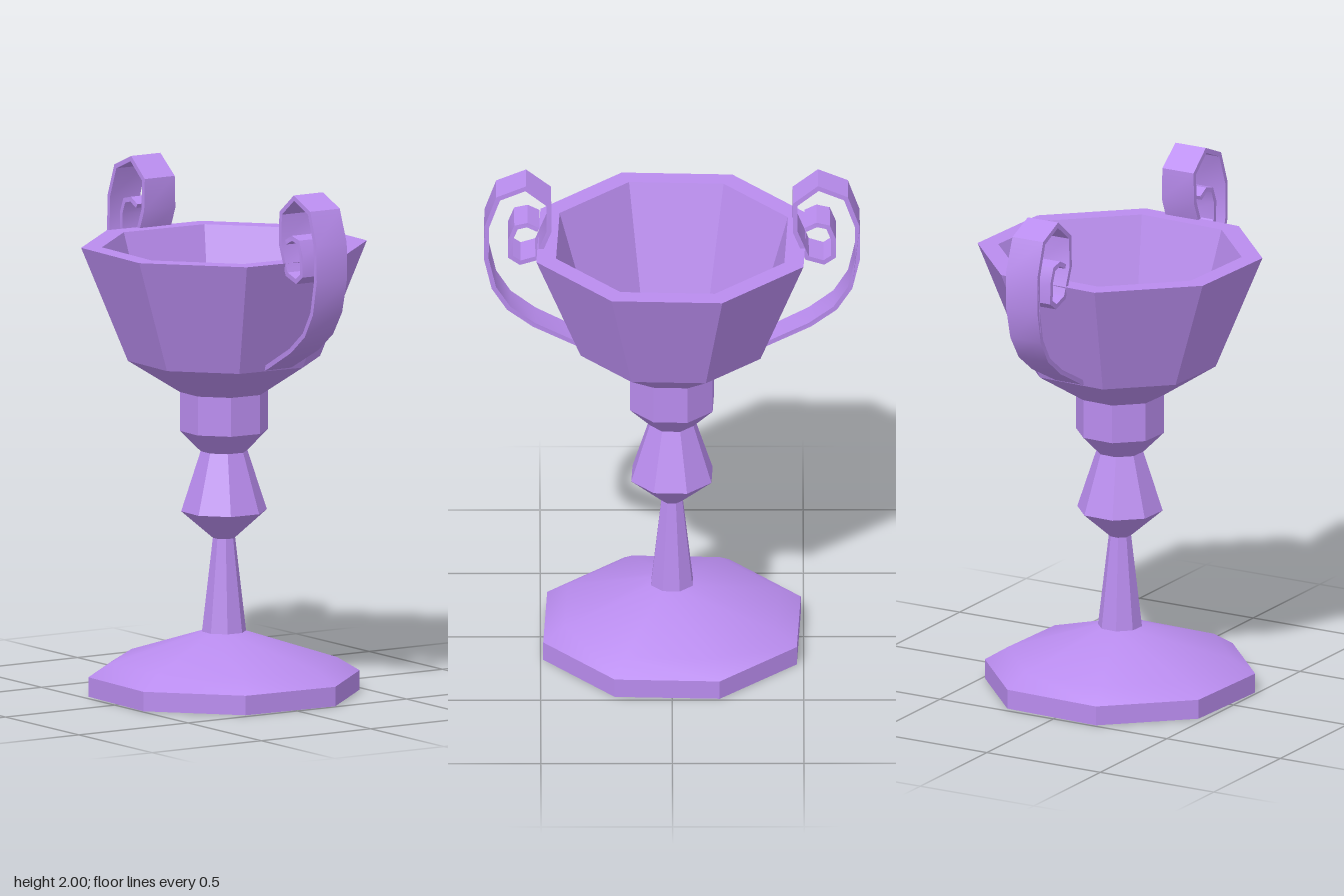
import * as THREE from 'three';
import { toCreasedNormals } from 'three/addons/utils/BufferGeometryUtils.js';

const material = new THREE.MeshStandardMaterial({ color: 0xb98cee });
const CREASE = Math.PI / 6;
const TURN = THREE.MathUtils.degToRad(20.25); // slight twist of the octagon

function addMesh(group, name, geometry) {
  const mesh = new THREE.Mesh(toCreasedNormals(geometry, CREASE), material);
  mesh.name = name;
  group.add(mesh);
  return mesh;
}

// Eight-sided turned part from [radius, height] pairs, listed bottom to top
function turned(profile) {
  const points = profile.map(([r, y]) => new THREE.Vector2(r, y));
  return new THREE.LatheGeometry(points, 8, TURN, Math.PI * 2);
}

// Closed ribbon outline: the path offset to both sides with mitred corners
function ribbonShape(path, thickness) {
  const sides = [[], []];
  path.forEach((p, i) => {
    const before = path[Math.max(i - 1, 0)];
    const after = path[Math.min(i + 1, path.length - 1)];
    const d0 = (i > 0 ? p.clone().sub(before) : after.clone().sub(p)).normalize();
    const d1 = (i < path.length - 1 ? after.clone().sub(p) : d0.clone()).normalize();
    const t = d0.clone().add(d1).normalize();
    const reach = thickness / 2 / t.dot(d1);
    const n = new THREE.Vector2(-t.y, t.x).multiplyScalar(reach);
    sides[0].push(p.clone().add(n));
    sides[1].push(p.clone().sub(n));
  });
  return new THREE.Shape([...sides[0], ...sides[1].reverse()]);
}

// Scrolled handle strip, [distance from the axis, height], from bowl to curl
function handleGeometry() {
  const path = [
    [0.335, 1.3], [0.36, 1.31], [0.524, 1.395], [0.62, 1.468], [0.677, 1.558],
    [0.706, 1.685], [0.704, 1.823], [0.661, 1.944], [0.556, 1.988], [0.468, 1.918],
    [0.468, 1.802], [0.513, 1.69], [0.577, 1.67], [0.614, 1.696], [0.614, 1.77],
    [0.593, 1.823], [0.55, 1.833], [0.508, 1.812],
  ].map(([z, y]) => new THREE.Vector2(z, y));
  const geo = new THREE.ExtrudeGeometry(ribbonShape(path, 0.018), { depth: 2, bevelEnabled: false });
  geo.translate(0, 0, -1);
  // The strip widens slightly towards the centre of the curl
  const pos = geo.attributes.position;
  for (let i = 0; i < pos.count; i++) {
    const d = Math.hypot(pos.getX(i) - 0.56, pos.getY(i) - 1.76);
    pos.setZ(i, pos.getZ(i) * (0.075 - 0.034 * d));
  }
  return geo;
}

export function createModel() {
  const goblet = new THREE.Group();
  goblet.name = 'goblet';

  // Foot
  addMesh(goblet, 'foot', turned([
    [0, 0], [0.522, 0], [0.522, 0.075], [0.435, 0.128], [0.085, 0.24], [0, 0.24],
  ]));

  // Stem with its knot and collar
  addMesh(goblet, 'stem', turned([
    [0.085, 0.24], [0.043, 0.6], [0.165, 0.705], [0.09, 0.935], [0.17, 1.015], [0.17, 1.165],
  ]));

  // Hollow bowl: outside, rim, inside wall, floor
  addMesh(goblet, 'bowl', turned([
    [0, 1.165], [0.17, 1.165], [0.37, 1.29], [0.55, 1.73], [0.47, 1.73], [0.342, 1.3], [0, 1.3],
  ]));

  // Front and back handles
  for (const [name, side] of [['frontHandle', 1], ['backHandle', -1]]) {
    const handle = addMesh(goblet, name, handleGeometry());
    handle.rotation.y = -side * Math.PI / 2;
    handle.position.x = 0.014;
  }

  return goblet;
}
